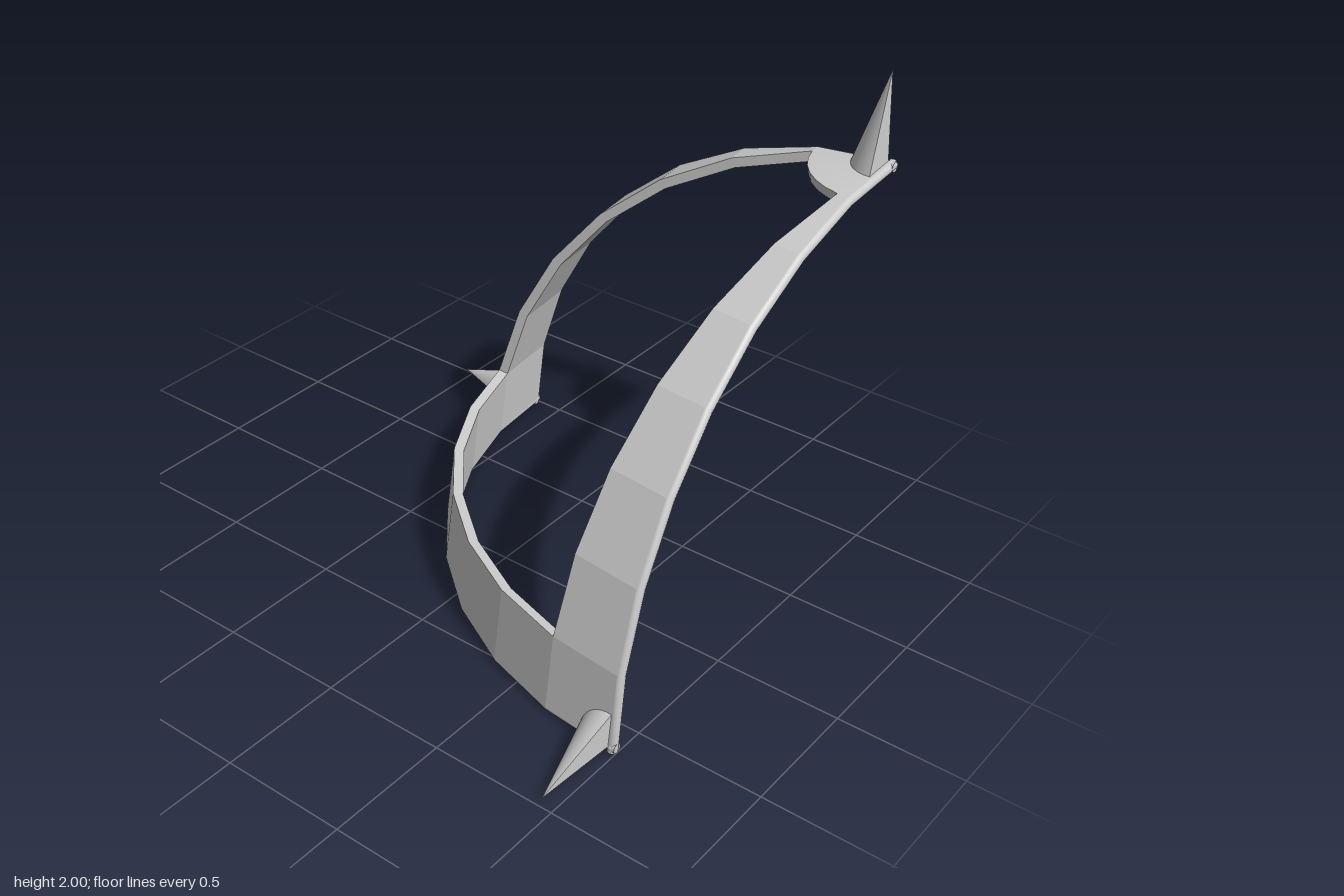
import * as THREE from 'three';
import { toCreasedNormals } from 'three/addons/utils/BufferGeometryUtils.js';

const OUTER = 1.65, INNER = 1.61, RIM = 0.02, STEPS = 8;

function geometryFrom(points) {
  const g = new THREE.BufferGeometry();
  g.setAttribute('position', new THREE.Float32BufferAttribute(points.flatMap(p => p.toArray()), 3));
  g.computeVertexNormals();
  return g;
}

// Point on one eighth of a sphere; the border is pulled in to the middle of the rounded rim
function spherePoint(r, i, j) {
  const t = i / STEPS * Math.PI / 2, p = j / STEPS * Math.PI / 2;
  const c = [Math.cos(p) * Math.cos(t), Math.sin(p), Math.cos(p) * Math.sin(t)];
  return new THREE.Vector3(...c.map(v => Math.max(r * v, RIM)));
}

// Faceted shell: only the outermost cells of the grid are kept, leaving one large opening
function shellGeometry() {
  const pts = [];
  const quad = (a, b, c, d) => pts.push(a, b, c, a, c, d);
  const last = STEPS - 1;
  const isHole = (i, j) => i > 0 && i < last && j > 0 && j < last;
  for (let i = 0; i < STEPS; i++) {
    for (let j = 0; j < STEPS; j++) {
      if (isHole(i, j)) continue;
      const corners = [[i, j], [i, j + 1], [i + 1, j + 1], [i + 1, j]];
      const o = corners.map(c => spherePoint(OUTER, ...c));
      const n = corners.map(c => spherePoint(INNER, ...c));
      quad(...o);
      quad(n[3], n[2], n[1], n[0]);
      // Wall of the opening
      [[i - 1, j], [i, j + 1], [i + 1, j], [i, j - 1]].forEach(([a, b], k) => {
        const m = (k + 1) % 4;
        if (isHole(a, b)) quad(o[m], o[k], n[k], n[m]);
      });
    }
  }
  return geometryFrom(pts);
}

// Quarter cone with two flat sides, standing on the +y corner
function spikeGeometry() {
  const base = 1.62, inset = 0.025, radius = 0.14;
  const apex = new THREE.Vector3(0.04, 2, 0.04);
  const ring = [new THREE.Vector3(inset, base, inset)];
  for (let k = 0; k <= 10; k++) {
    const t = k / 10 * Math.PI / 2;
    ring.push(new THREE.Vector3(inset + radius * Math.cos(t), base, inset + radius * Math.sin(t)));
  }
  const pts = [];
  ring.forEach((p, k) => pts.push(ring[(k + 1) % ring.length], p, apex));
  return toCreasedNormals(geometryFrom(pts), 0.6);
}

export function createModel() {
  const model = new THREE.Group();
  model.name = 'spikedFrame';
  const frame = new THREE.Group();
  frame.name = 'frame';
  frame.position.set(1, 0, 1);
  frame.rotation.y = Math.PI;
  model.add(frame);

  const flat = new THREE.MeshStandardMaterial({ color: 0xcccccc, flatShading: true });
  const smooth = new THREE.MeshStandardMaterial({ color: 0xcccccc, side: THREE.DoubleSide });
  const add = (parent, name, geometry, material) => {
    const mesh = new THREE.Mesh(geometry, material);
    mesh.name = name;
    parent.add(mesh);
    return mesh;
  };

  add(frame, 'shell', shellGeometry(), flat);

  // Rounded rim, corner and spike repeat three times around the diagonal
  const middle = (OUTER + INNER) / 2;
  const rim = new THREE.TorusGeometry(middle, RIM, 12, STEPS, Math.PI / 2);
  rim.translate(0, 0, RIM);
  const corner = new THREE.SphereGeometry(RIM, 12, 8);
  corner.translate(RIM, middle, RIM);
  const spike = spikeGeometry();
  const diagonal = new THREE.Vector3(1, 1, 1).normalize();
  for (let k = 0; k < 3; k++) {
    const side = new THREE.Group();
    side.name = 'side' + (k + 1);
    side.quaternion.setFromAxisAngle(diagonal, k * 2 * Math.PI / 3);
    add(side, 'rim', rim, smooth);
    add(side, 'rimCorner', corner, smooth);
    add(side, 'spike', spike, smooth);
    frame.add(side);
  }
  return model;
}
